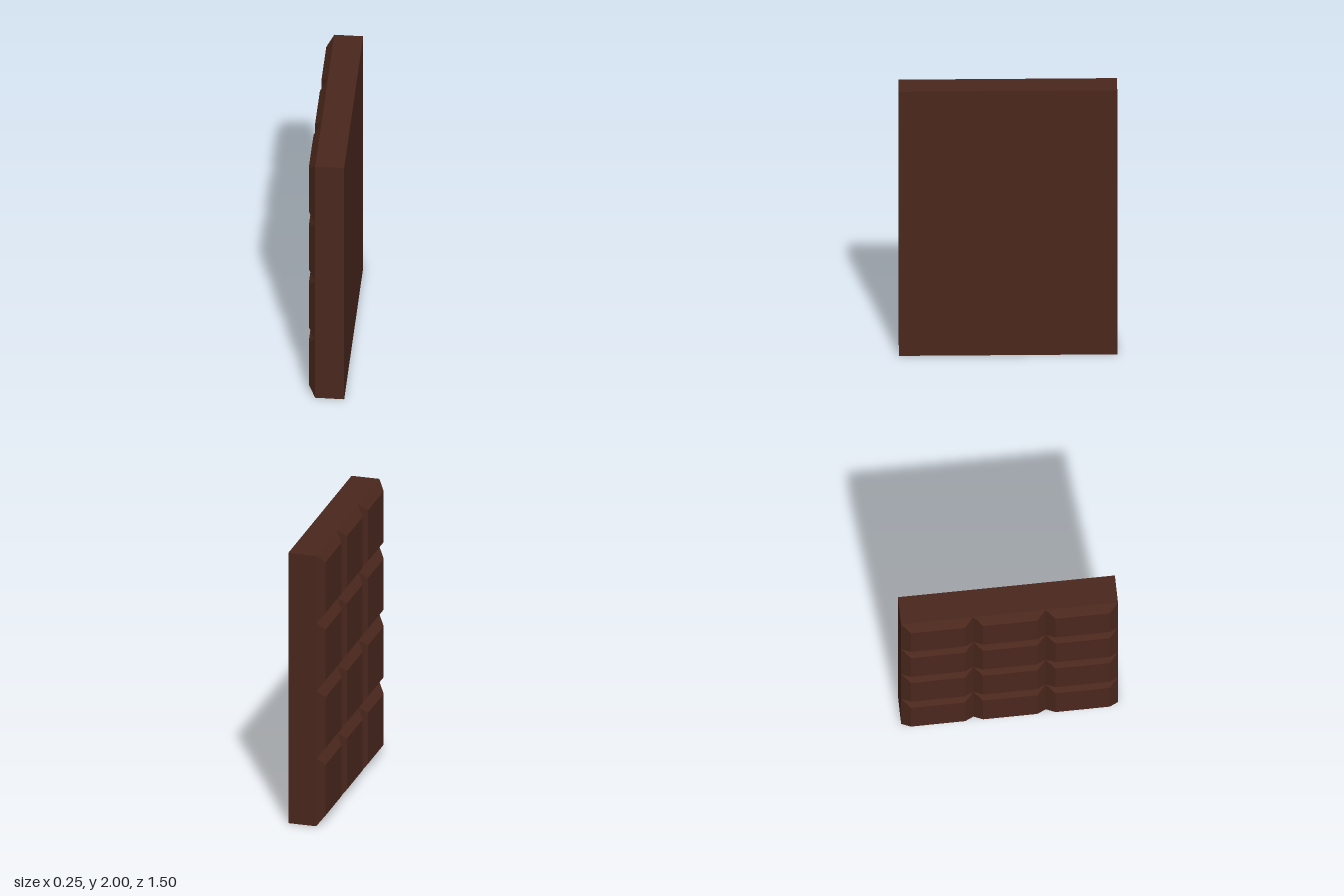
import * as THREE from 'three';

const ROWS = 4, COLS = 3, CELL = 0.5;
const SLAB = 0.2, RAISE = 0.05, INSET = 0.0625;

// Box whose -x face is shrunk, giving a square with bevelled edges
function bevelledSquare() {
  const geo = new THREE.BoxGeometry(RAISE, CELL, CELL);
  const pos = geo.attributes.position;
  const k = 1 - (2 * INSET) / CELL;
  for (let i = 0; i < pos.count; i++) {
    if (pos.getX(i) < 0) {
      pos.setY(i, pos.getY(i) * k);
      pos.setZ(i, pos.getZ(i) * k);
    }
  }
  geo.computeVertexNormals();
  return geo;
}

export function createModel() {
  const group = new THREE.Group();
  group.name = 'chocolateBar';
  const chocolate = new THREE.MeshStandardMaterial({ color: 0x4a271d });

  // Plain slab
  const slab = new THREE.Mesh(new THREE.BoxGeometry(SLAB, ROWS * CELL, COLS * CELL), chocolate);
  slab.name = 'slab';
  slab.position.set(RAISE / 2, ROWS * CELL / 2, 0);
  group.add(slab);

  // Grid of raised squares on the -x side
  const squares = new THREE.Group();
  squares.name = 'squares';
  const geo = bevelledSquare();
  for (let r = 0; r < ROWS; r++) {
    for (let c = 0; c < COLS; c++) {
      const square = new THREE.Mesh(geo, chocolate);
      square.name = `square${r * COLS + c + 1}`;
      square.position.set(-SLAB / 2, (r + 0.5) * CELL, (c - (COLS - 1) / 2) * CELL);
      squares.add(square);
    }
  }
  group.add(squares);
  return group;
}
